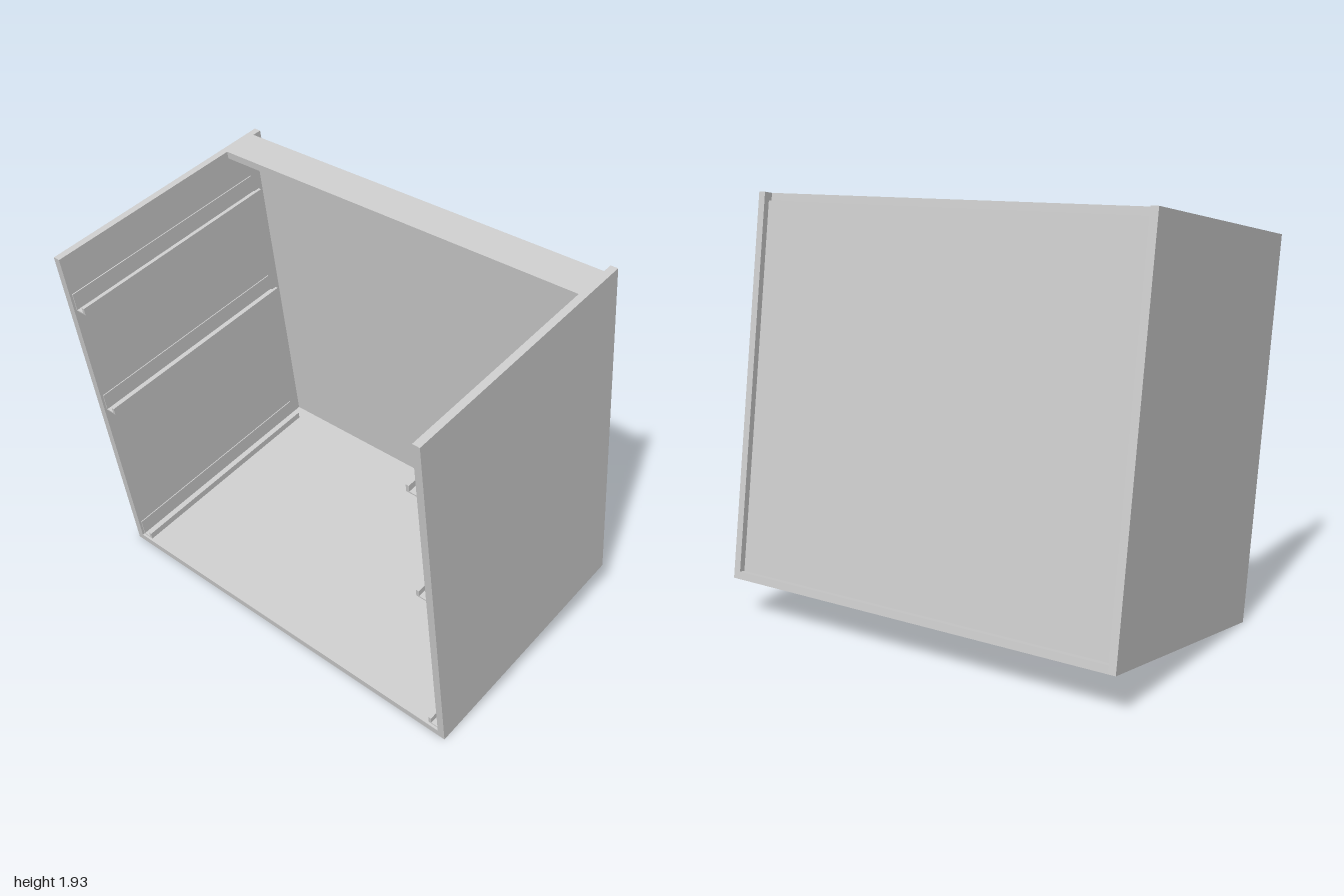
import * as THREE from 'three';

// Open cabinet carcass, tilted back on one lower edge
const W = 1.234, H = 1.77, T = 0.035, HALF = 1, IN = HALF - T;
const TILT = 0.15;

export function createModel() {
  const model = new THREE.Group();
  model.name = 'cabinet';
  const body = new THREE.Group();
  body.name = 'carcass';
  const mat = new THREE.MeshStandardMaterial({ color: 0xcccccc });

  // Box given by its x and y limits, depth and z centre
  const board = (name, x0, x1, y0, y1, depth, z = 0) => {
    const mesh = new THREE.Mesh(new THREE.BoxGeometry(x1 - x0, y1 - y0, depth), mat);
    mesh.position.set((x0 + x1) / 2, (y0 + y1) / 2, z);
    mesh.name = name;
    body.add(mesh);
  };

  const w = W / 2, h = H / 2;
  board('bottomPanel', -w, w, -h, -h + T, 2 * IN);
  board('topRail', 0.396, 0.572, h - T, h, 2 * IN);
  board('rearPanel', 0.572, 0.589, -h + T, h - T, 2 * IN);

  // Drawer runner: thin wall plate, bottom web and raised inner lip
  const section = [[0, 0], [0.06, 0], [0.06, 0.035], [0.045, 0.035],
    [0.045, 0.006], [0.005, 0.006], [0.005, 0.09], [0, 0.09]];

  for (const s of [1, -1]) {
    board(s > 0 ? 'frontSidePanel' : 'backSidePanel', -w, w, -h, h, T, s * (HALF - T / 2));

    const shape = new THREE.Shape(section.map(([d, y]) => new THREE.Vector2(s * d, y)));
    const geo = new THREE.ExtrudeGeometry(shape, { depth: 1.115, bevelEnabled: false });
    geo.rotateY(Math.PI / 2);
    for (const y of [-h + T, 0.015, 0.605]) {
      const runner = new THREE.Mesh(geo, mat);
      runner.name = 'drawerRunner';
      runner.position.set(-0.605, y, s * IN);
      body.add(runner);
    }
  }

  // Tilt and rest the lowest corner on the ground
  body.rotation.z = TILT;
  body.position.y = w * Math.sin(TILT) + h * Math.cos(TILT);
  model.add(body);
  return model;
}
